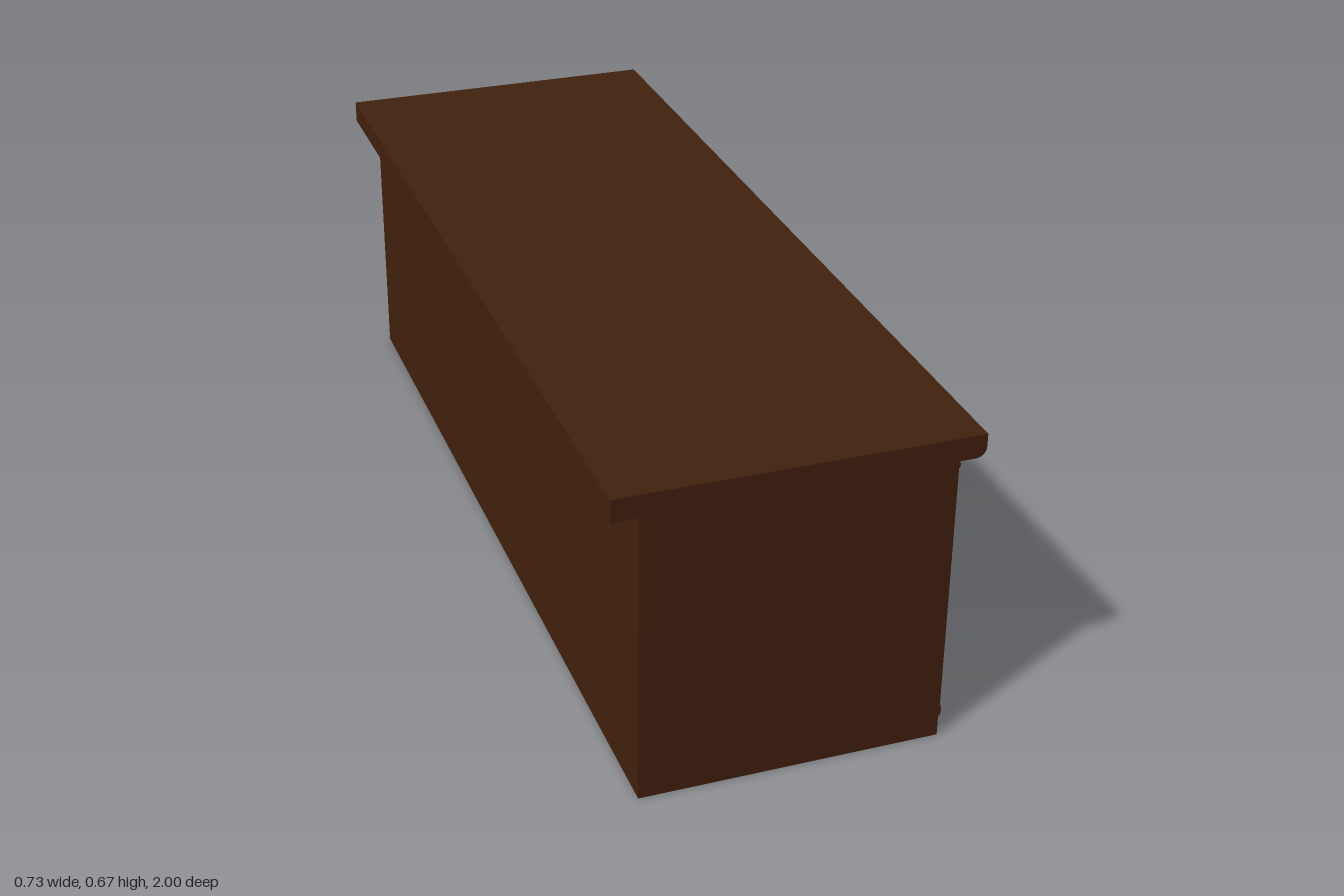
import * as THREE from 'three';

export function createModel() {
  const model = new THREE.Group();
  const wood = new THREE.MeshStandardMaterial({ color: 0x42210e });
  wood.name = 'dark brown wood';

  const add = (name, geometry, x = 0, y = 0, z = 0) => {
    const mesh = new THREE.Mesh(geometry, wood);
    mesh.name = name;
    mesh.position.set(x, y, z);
    model.add(mesh);
    return mesh;
  };
  const extrude = (shape, depth) =>
    new THREE.ExtrudeGeometry(shape, { depth, bevelEnabled: false, curveSegments: 8 })
      .translate(0, 0, -depth / 2);

  // Carcass
  const faceX = 0.308;
  add('body', new THREE.BoxGeometry(0.618, 0.62, 2), -0.001, 0.31, 0);

  // Overhanging top with a rounded lower edge along the panelled side
  const top = new THREE.Shape();
  const r = 0.021;
  top.moveTo(-0.364, 0.618);
  top.lineTo(0.364 - r, 0.618);
  top.absarc(0.364 - r, 0.618 + r, r, -Math.PI / 2, 0, false);
  top.lineTo(0.364, 0.666);
  top.lineTo(-0.364, 0.666);
  top.closePath();
  add('top', extrude(top, 2));

  // Shallow moulding with bevelled edges, lying on the panelled side
  const moulding = (width, length) => {
    const w = width / 2;
    const s = new THREE.Shape([
      new THREE.Vector2(0, -w), new THREE.Vector2(0.003, -w),
      new THREE.Vector2(0.005, -w + 0.006), new THREE.Vector2(0.005, w - 0.006),
      new THREE.Vector2(0.003, w), new THREE.Vector2(0, w),
    ]);
    return extrude(s, length);
  };

  // Horizontal rails
  add('lowerRail', moulding(0.024, 2), faceX, 0.057, 0);
  add('upperRail', moulding(0.014, 2), faceX, 0.611, 0);

  // Upright strips dividing the side into three panels
  for (const z of [0.983, 0.35, -0.317, -0.966]) {
    const strip = add('panelDivider', moulding(0.03, 0.535), faceX, 0.3365, z);
    strip.rotation.x = Math.PI / 2;
  }

  return model;
}
